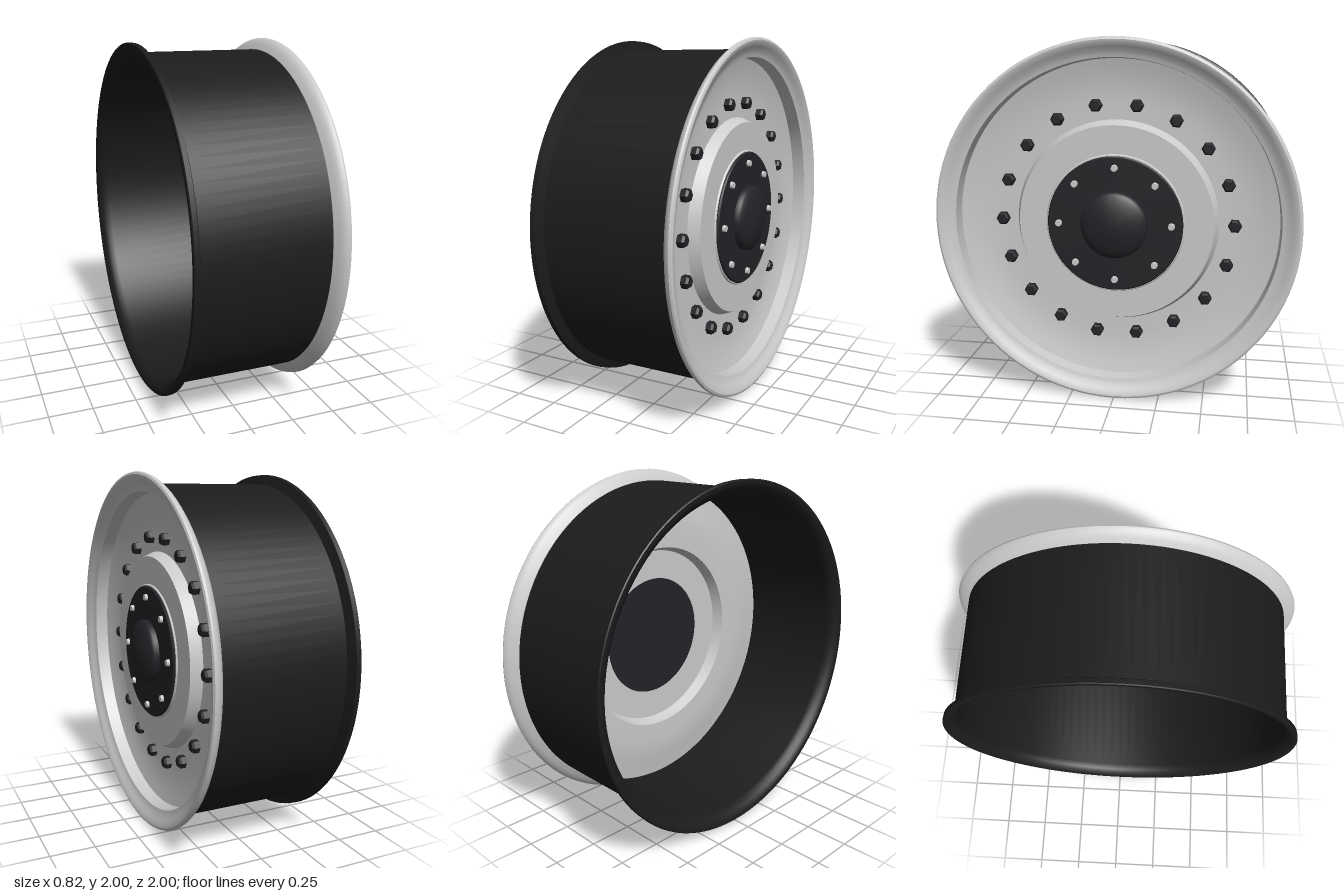
import * as THREE from 'three';
import { toCreasedNormals } from 'three/addons/utils/BufferGeometryUtils.js';

const grey = new THREE.MeshStandardMaterial({ color: 0xcccccc });
const black = new THREE.MeshStandardMaterial({ color: 0x1b1c1e });
const charcoal = new THREE.MeshStandardMaterial({ color: 0x222427 });

// Profile of [axial position, radius], going round the solid with its outside first
function turned(name, profile, material, crease = 0.5) {
  const points = profile.map(([axial, radius]) => new THREE.Vector2(radius, axial));
  const geometry = toCreasedNormals(new THREE.LatheGeometry(points, 96), crease);
  const mesh = new THREE.Mesh(geometry, material);
  mesh.name = name;
  return mesh;
}

// Copies of one mesh spaced evenly on a circle, all facing the same way
function ring(name, count, radius, axial, geometry, material) {
  const group = new THREE.Group();
  group.name = name + 's';
  for (let i = 0; i < count; i++) {
    const a = (i / count) * Math.PI * 2;
    const mesh = new THREE.Mesh(geometry, material);
    mesh.name = name;
    mesh.position.set(Math.sin(a) * radius, axial, Math.cos(a) * radius);
    group.add(mesh);
  }
  return group;
}

export function createModel() {
  // Built around the local y axis, then turned so the axle runs along x
  const wheel = new THREE.Group();
  wheel.name = 'wheel';

  // Hollow barrel with a flared inner flange
  wheel.add(turned('barrel', [
    [-0.41, 0.965], [-0.41, 0.985], [-0.405, 0.99], [-0.38, 0.988], [-0.36, 0.937],
    [0.335, 0.937], [0.335, 0.915], [-0.34, 0.915], [-0.37, 0.92], [-0.39, 0.935],
    [-0.405, 0.955], [-0.41, 0.965],
  ], black, 0.7));

  // Rounded outer lip with a stepped inner wall
  wheel.add(turned('outerLip', [
    [0.33, 0.9], [0.33, 0.94], [0.345, 0.965], [0.36, 0.985], [0.375, 0.996], [0.387, 1],
    [0.397, 0.996], [0.402, 0.985], [0.4, 0.972], [0.385, 0.95], [0.37, 0.925],
    [0.364, 0.91], [0.36, 0.895], [0.27, 0.888], [0.27, 0.916], [0.33, 0.916],
  ], grey));

  // Dished disc rising to a raised hub, open in the middle
  wheel.add(turned('disc', [
    [0.265, 0.916], [0.285, 0.89], [0.272, 0.84], [0.26, 0.78], [0.253, 0.72], [0.25, 0.66],
    [0.25, 0.565], [0.312, 0.54], [0.312, 0.385], [0.32, 0.38], [0.32, 0.36],
    [0.295, 0.36], [0.295, 0.53], [0.232, 0.555], [0.232, 0.66], [0.235, 0.72],
    [0.242, 0.78], [0.254, 0.84], [0.265, 0.916],
  ], grey));

  // Hub cap plate and its domed centre
  wheel.add(turned('hubCap', [
    [0.3, 0], [0.3, 0.37], [0.325, 0.375], [0.333, 0.368], [0.335, 0],
  ], charcoal));
  wheel.add(turned('capDome', [
    [0.33, 0.185], [0.358, 0.183], [0.37, 0.172], [0.382, 0.145], [0.395, 0.1],
    [0.404, 0.05], [0.408, 0],
  ], charcoal, 0.8));

  // Small bolts holding the cap
  const bolt = toCreasedNormals(new THREE.CylinderGeometry(0.017, 0.02, 0.02, 16), 0.5);
  wheel.add(ring('capBolt', 8, 0.312, 0.34, bolt, grey));

  // Hexagonal nuts with chamfered ends
  const nutProfile = [[0, 0], [0.037, 0], [0.037, 0.033], [0.027, 0.045], [0, 0.045]];
  const nut = toCreasedNormals(new THREE.LatheGeometry(
    nutProfile.map(([r, y]) => new THREE.Vector2(r, y)), 6), 0.2);
  wheel.add(ring('discNut', 18, 0.65, 0.248, nut, charcoal));

  wheel.rotation.z = -Math.PI / 2;
  wheel.position.y = 1;

  const model = new THREE.Group();
  model.name = 'wheelRim';
  model.add(wheel);
  return model;
}
